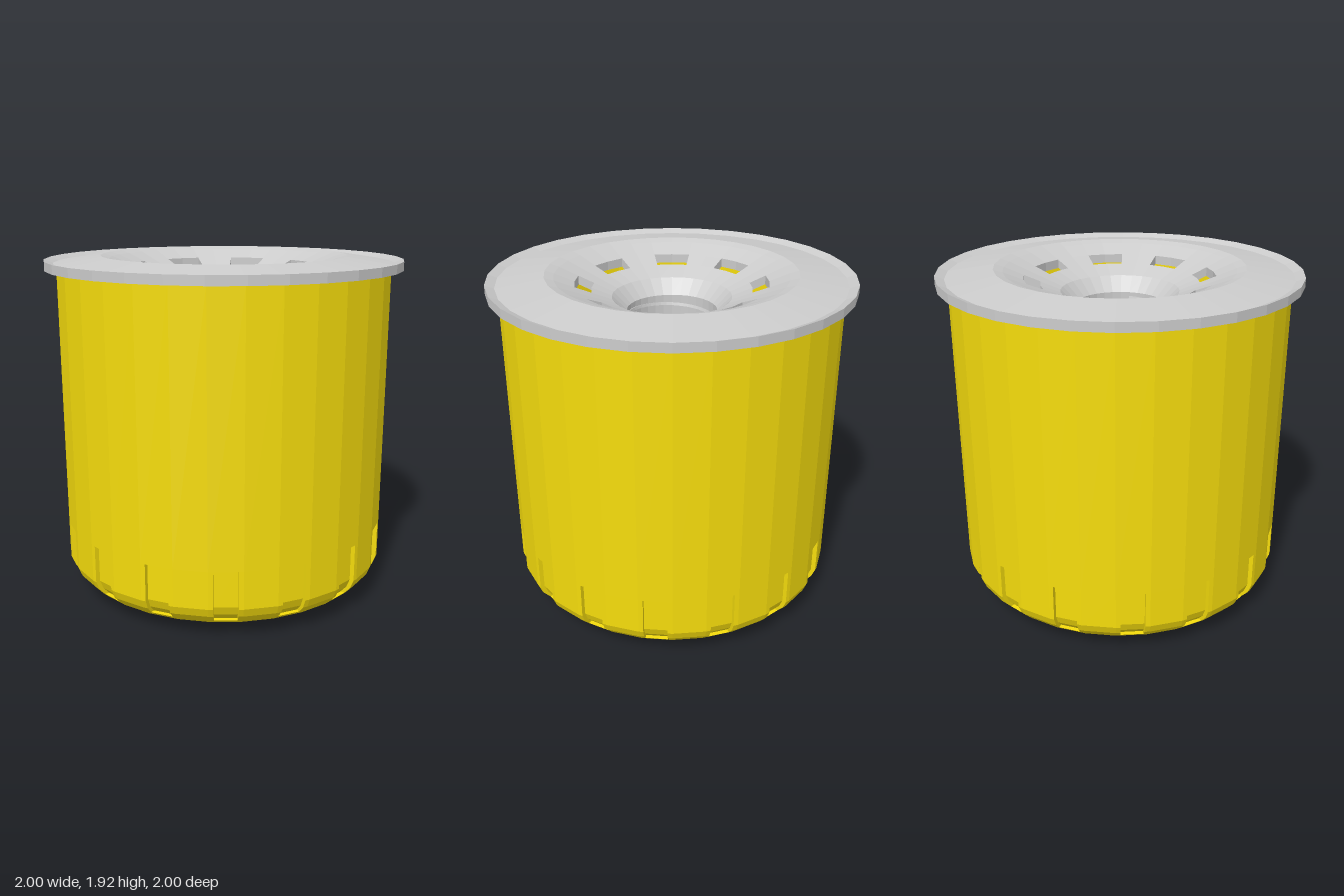
import * as THREE from 'three';

const SIDES = 32;
const STEP = (Math.PI * 2) / SIDES;
const DEG = Math.PI / 180;

const yellow = new THREE.MeshStandardMaterial({ color: 0xf5dc0c, flatShading: true, side: THREE.DoubleSide });
const orange = new THREE.MeshStandardMaterial({ color: 0xb8640f, flatShading: true });
const grey = new THREE.MeshStandardMaterial({ color: 0xcccccc, flatShading: true });

// Sweeps a closed counterclockwise [radius, y] section round a 32-sided axis,
// over a sector if given, with the sector's ends capped.
function sweep(section, from = 0, to = Math.PI * 2) {
  const full = to - from > 6.28;
  const angles = [from];
  for (let k = Math.floor(from / STEP) - 1; k * STEP < to - 1e-4; k++) {
    if (k * STEP > from + 1e-4) angles.push(k * STEP);
  }
  angles.push(to);

  const point = (i, a) => {
    const [r, y] = section[i % section.length];
    const offset = a - (Math.floor(a / STEP + 1e-6) + 0.5) * STEP;
    const R = (r * Math.cos(STEP / 2)) / Math.cos(offset);
    return [R * Math.sin(a), y, R * Math.cos(a)];
  };

  const pos = [];
  for (let j = 0; j < angles.length - 1; j++) {
    for (let i = 0; i < section.length; i++) {
      const a = point(i, angles[j]);
      const b = point(i, angles[j + 1]);
      const c = point(i + 1, angles[j + 1]);
      const d = point(i + 1, angles[j]);
      pos.push(...a, ...b, ...c, ...a, ...c, ...d);
    }
  }
  if (!full) {
    const outline = section.map(([r, y]) => new THREE.Vector2(r, y));
    for (const [a, b, c] of THREE.ShapeUtils.triangulateShape(outline, [])) {
      pos.push(...point(a, from), ...point(b, from), ...point(c, from));
      pos.push(...point(c, to), ...point(b, to), ...point(a, to));
    }
  }
  const geo = new THREE.BufferGeometry();
  geo.setAttribute('position', new THREE.Float32BufferAttribute(pos, 3));
  geo.computeVertexNormals();
  return geo;
}

function add(parent, name, geo, material) {
  const mesh = new THREE.Mesh(geo, material);
  mesh.name = name;
  parent.add(mesh);
  return mesh;
}

function makeCan() {
  const can = new THREE.Group();
  can.name = 'can';

  // Rounded base
  add(can, 'base', sweep([
    [0, 0], [0.54, 0], [0.74, 0.03], [0.86, 0.09], [0.88, 0.11],
    [0.84, 0.11], [0.72, 0.08], [0.54, 0.05], [0, 0.05],
  ]), yellow);

  // Grip band: sixteen ribs with recessed grooves between
  const inner = [[0.885, 0.41], [0.885, 0.2], [0.865, 0.15], [0.84, 0.11]];
  const outer = [[0.88, 0.11], [0.915, 0.15], [0.935, 0.2], [0.935, 0.41]];
  const recessed = outer.map(([r, y]) => [r - 0.025, y]);
  const half = 4.05 * DEG;
  for (let i = 0; i < 16; i++) {
    const mid = STEP / 2 + i * STEP * 2 + STEP; // groove centre, on the middle of a facet
    add(can, 'gripGroove', sweep([...recessed, ...inner], mid - half, mid + half), yellow);
    add(can, 'gripRib', sweep([...outer, ...inner], mid + half, mid + STEP * 2 - half), yellow);
  }

  // Straight wall
  add(can, 'wall', sweep([[0.885, 0.41], [0.935, 0.41], [0.935, 1.85], [0.885, 1.85]]), yellow);
  return can;
}

function makeLid() {
  const lid = new THREE.Group();
  lid.name = 'lid';

  // Flange with raised edge, crowned ring and upper funnel
  add(lid, 'flange', sweep([
    [0.53, 1.81], [0.64, 1.85], [1, 1.85], [1, 1.9],
    [0.95, 1.88], [0.69, 1.92], [0.64, 1.905], [0.53, 1.86],
  ]), grey);

  // Bridges that leave eight inlet slots between them
  for (let i = 0; i < 8; i++) {
    add(lid, 'slotBridge', sweep(
      [[0.44, 1.774], [0.53, 1.81], [0.53, 1.86], [0.44, 1.824]],
      i * 45 * DEG - STEP, i * 45 * DEG + STEP,
    ), grey);
  }

  // Lower funnel and central collar
  add(lid, 'collar', sweep([
    [0.25, 1.5], [0.29, 1.5], [0.29, 1.71], [0.33, 1.73],
    [0.44, 1.774], [0.44, 1.824], [0.33, 1.78], [0.25, 1.7],
  ]), grey);

  // Screw thread inside the collar
  const helix = [];
  for (let i = 0; i <= 48; i++) {
    const a = (i / 48) * Math.PI * 4;
    helix.push(new THREE.Vector3(0.25 * Math.sin(a), 1.52 + 0.15 * (i / 48), 0.25 * Math.cos(a)));
  }
  add(lid, 'thread', new THREE.TubeGeometry(new THREE.CatmullRomCurve3(helix), 96, 0.012, 4), grey);
  return lid;
}

function makeFilter() {
  const filter = new THREE.Group();
  filter.name = 'filter';

  // Filter ring inside the can
  add(filter, 'filterRing', sweep([[0.31, 0.15], [0.8, 0.15], [0.8, 1.48], [0.31, 1.48]]), orange);

  // Pleated centre tube
  const tube = new THREE.CylinderGeometry(1, 1, 1.44, 64, 1, true);
  const p = tube.attributes.position;
  for (let i = 0; i < p.count; i++) {
    const r = (i % 65) % 2 ? 0.3 : 0.265;
    p.setXYZ(i, p.getX(i) * r, p.getY(i), p.getZ(i) * r);
  }
  tube.computeVertexNormals();
  add(filter, 'centreTube', tube, yellow).position.y = 0.77;
  return filter;
}

export function createModel() {
  const model = new THREE.Group();
  model.name = 'canisterFilter';
  model.add(makeCan(), makeLid(), makeFilter());
  return model;
}
